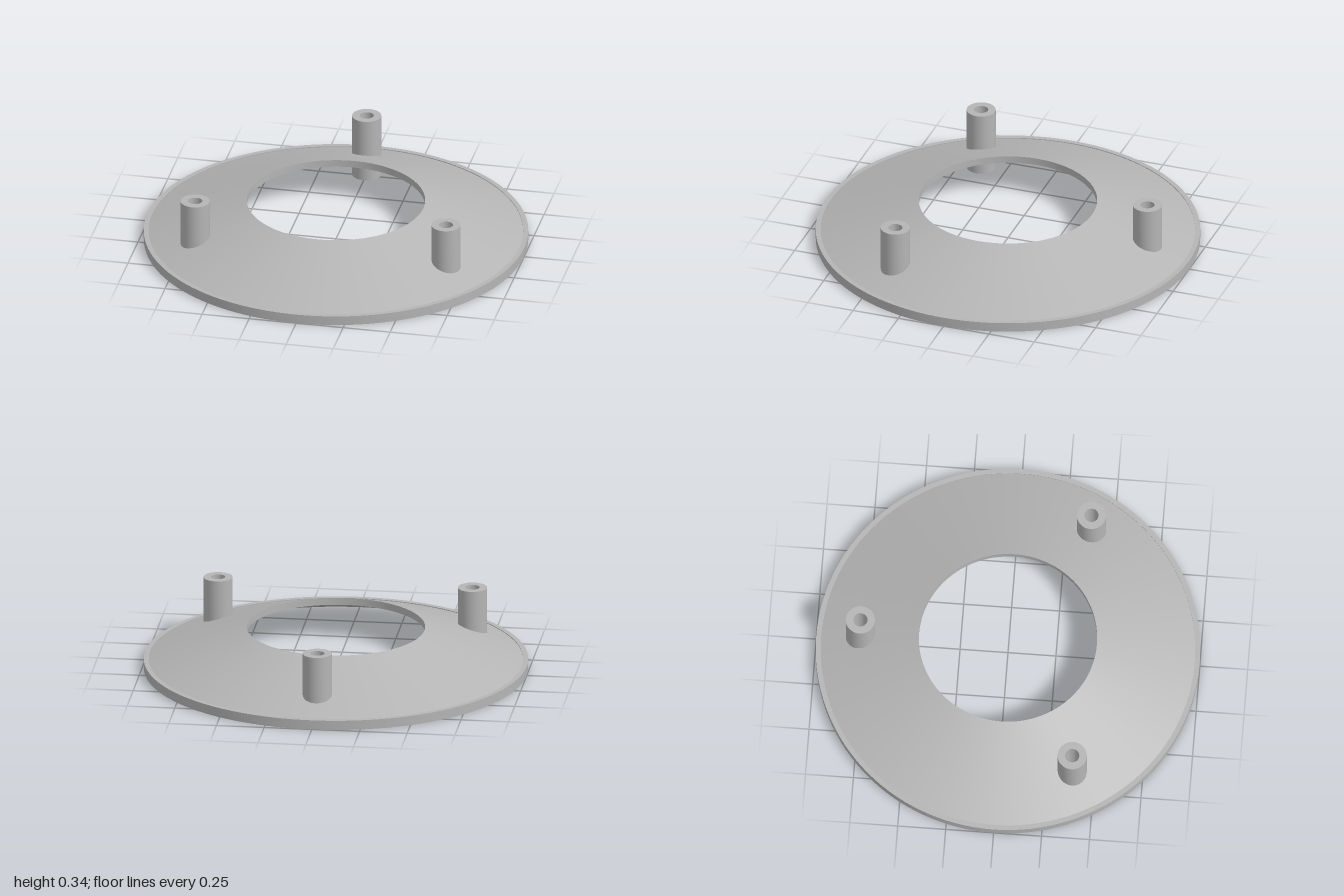
import * as THREE from 'three';
import { toCreasedNormals } from 'three/addons/utils/BufferGeometryUtils.js';

const grey = new THREE.MeshStandardMaterial({ color: 0xb5b5b5 });
grey.name = 'grey';

// Revolves a closed (radius, height) profile, listed counter-clockwise, keeping its edges sharp
function revolve(name, profile, segments) {
  const points = [...profile, profile[0]].map(([r, y]) => new THREE.Vector2(r, y));
  const geometry = toCreasedNormals(new THREE.LatheGeometry(points, segments), 0.3);
  const mesh = new THREE.Mesh(geometry, grey);
  mesh.name = name;
  return mesh;
}

export function createModel() {
  const model = new THREE.Group();
  model.name = 'conicalMountingRing';

  // Hollow cone with a short upright rim and a central opening
  model.add(revolve('conicalRing', [
    [0.98, 0], [1, 0], [1, 0.05], [0.974, 0.05], [0.974, 0.046],
    [0.464, 0.225], [0.464, 0.187],
  ], 128));

  // Three tubular posts passing through the cone
  for (let i = 0; i < 3; i++) {
    const angle = Math.PI + (i * Math.PI * 2) / 3;
    const post = revolve('tubularPost', [
      [0.037, 0], [0.076, 0], [0.076, 0.34], [0.037, 0.34],
    ], 40);
    post.position.set(0.77 * Math.sin(angle), 0, 0.77 * Math.cos(angle));
    model.add(post);
  }
  return model;
}
